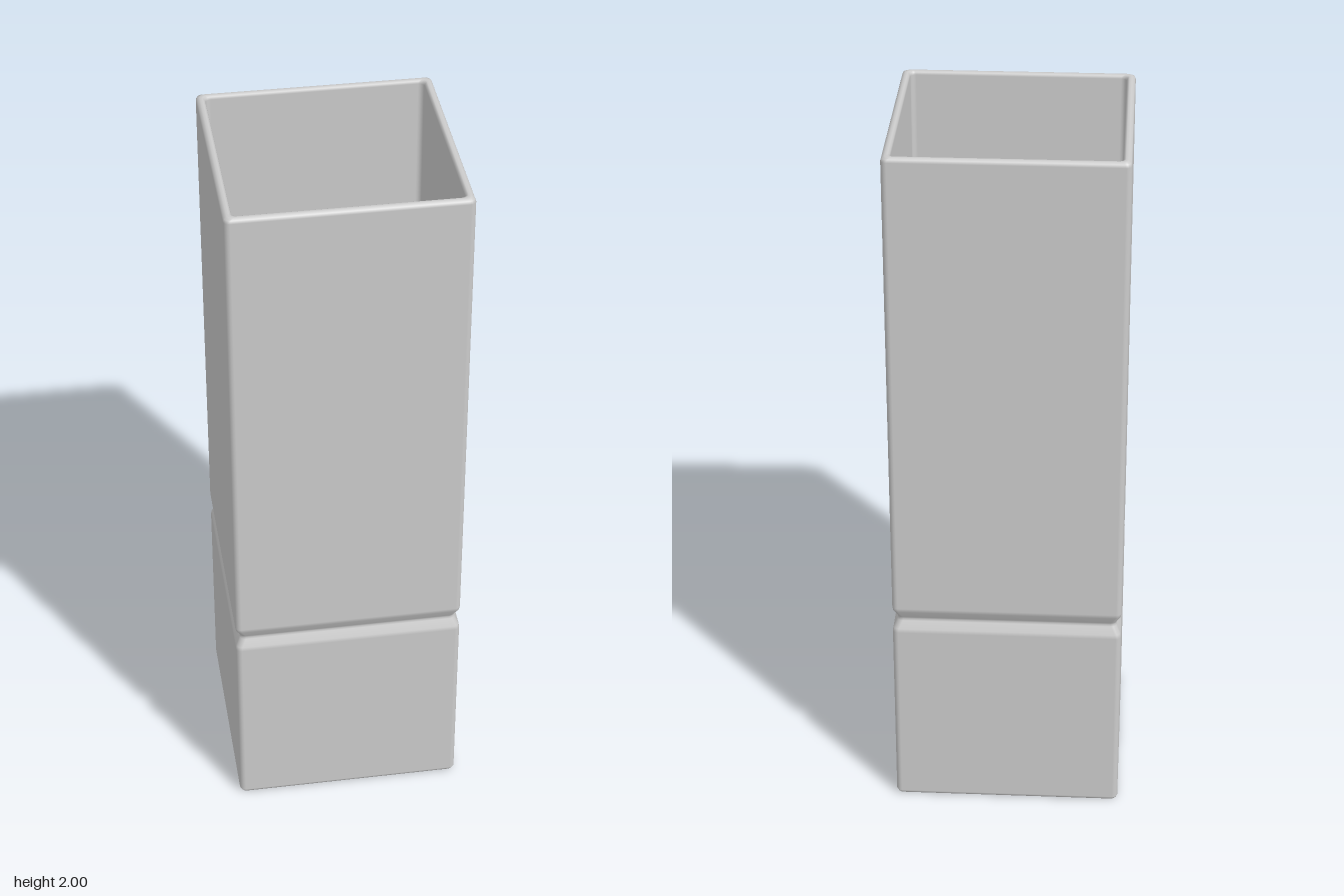
import * as THREE from 'three';

const CORNER = 0.016; // radius of the vertical edges
const STEPS = 4; // segments per rounded corner

// Sweeps a [halfWidth, y] profile around a square with rounded corners.
function squareLathe(profile) {
  const positions = [], normals = [], index = [];
  const ring = 4 * (STEPS + 1);

  // Profile normals weighted by segment length keep the large faces flat
  const profileNormals = profile.map((p, j) => {
    const a = profile[Math.max(j - 1, 0)], b = profile[Math.min(j + 1, profile.length - 1)];
    const weigh = (s, e) => {
      const n = new THREE.Vector2(e[1] - s[1], s[0] - e[0]);
      return n.multiplyScalar(n.length());
    };
    return weigh(a, p).add(weigh(p, b)).normalize();
  });

  profile.forEach(([half, y], j) => {
    const n = profileNormals[j];
    const radius = Math.min(CORNER, half);
    for (let q = 0; q < 4; q++) {
      const mid = (q + 0.5) * Math.PI / 2;
      const cx = Math.sign(Math.cos(mid)) * (half - radius);
      const cz = Math.sign(Math.sin(mid)) * (half - radius);
      for (let s = 0; s <= STEPS; s++) {
        const angle = (q + s / STEPS) * Math.PI / 2;
        const c = Math.cos(angle), d = Math.sin(angle);
        positions.push(cx + radius * c, y, cz + radius * d);
        normals.push(n.x * c, n.y, n.x * d);
      }
    }
  });

  for (let j = 0; j < profile.length - 1; j++) {
    for (let i = 0; i < ring; i++) {
      const k = (i + 1) % ring;
      const a = j * ring + i, b = j * ring + k;
      index.push(a, a + ring, b, b, a + ring, b + ring);
    }
  }
  const geometry = new THREE.BufferGeometry();
  geometry.setAttribute('position', new THREE.Float32BufferAttribute(positions, 3));
  geometry.setAttribute('normal', new THREE.Float32BufferAttribute(normals, 3));
  geometry.setIndex(index);
  return geometry;
}

export function createModel() {
  const group = new THREE.Group();
  group.name = 'squareVase';

  const profile = [
    // underside and softened bottom edge
    [0, 0], [0.31, 0], [0.318, 0.003], [0.322, 0.012],
    // lower wall and pinched groove
    [0.322, 0.56], [0.32, 0.572], [0.309, 0.594], [0.307, 0.6],
    [0.309, 0.606], [0.32, 0.628], [0.322, 0.64],
    // upper wall and rounded rim
    [0.322, 1.988], [0.319, 1.996], [0.312, 2], [0.305, 2],
    [0.300, 1.997], [0.298, 1.99],
    // inner wall, rounded into the floor
    [0.298, 0.034], [0.296, 0.028], [0.29, 0.025], [0, 0.025],
  ];
  const body = new THREE.Mesh(
    squareLathe(profile),
    new THREE.MeshStandardMaterial({ color: 0xcccccc })
  );
  body.name = 'vaseBody';
  group.add(body);
  return group;
}
